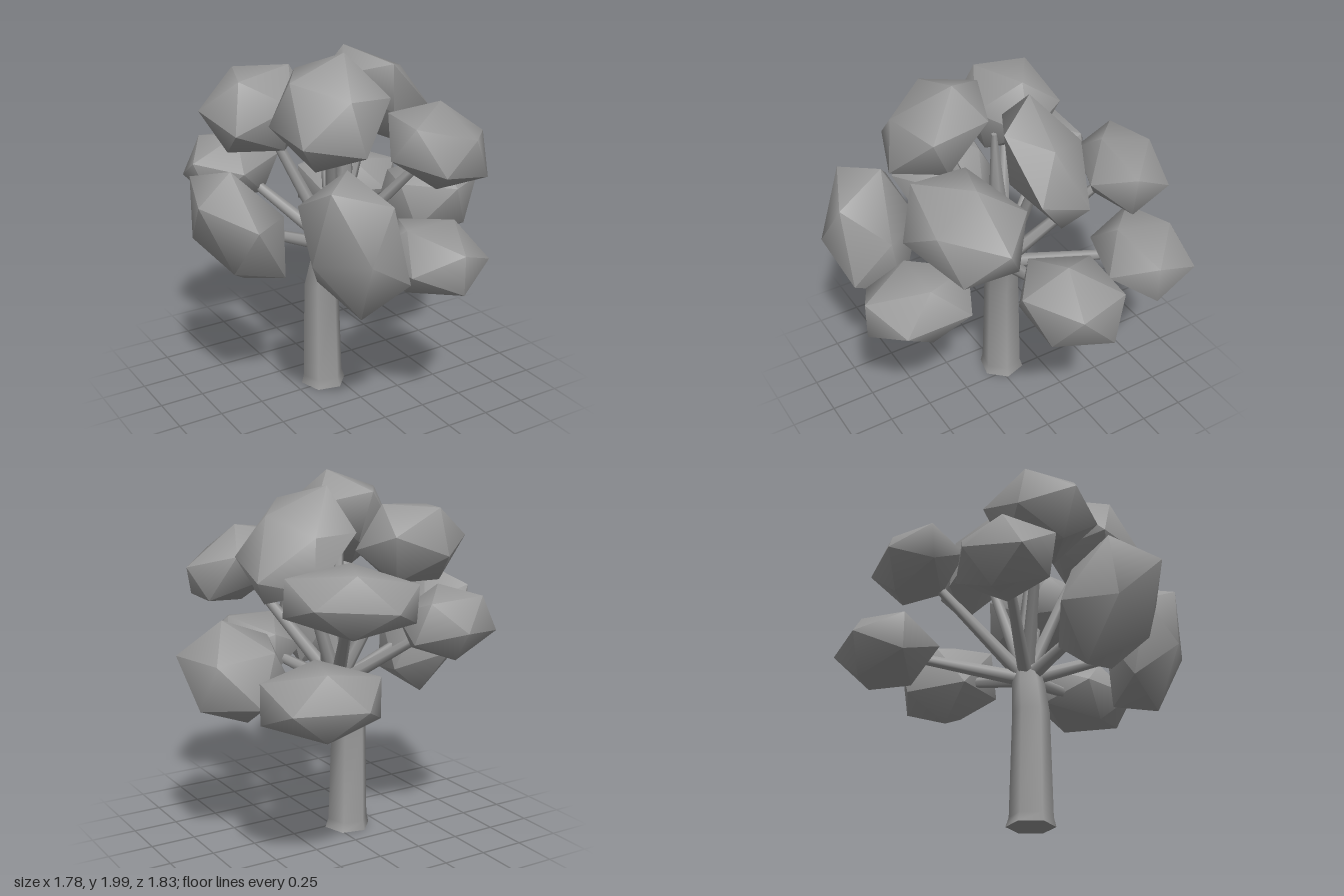
import * as THREE from 'three';
import { toCreasedNormals } from 'three/addons/utils/BufferGeometryUtils.js';

const T = (1 + Math.sqrt(5)) / 2;
const V = (a) => new THREE.Vector3(...a);

// Leaf clumps: centre, then the three axes of a squashed, tilted icosahedron
const CLUMPS = [
  [[0.18, 0.97, 0.62], [0.148, 0, 0], [0, 0.106, 0], [0, 0, 0.185]],
  [[0.44, 0.97, -0.624], [-0.048, 0, 0.14], [0, 0.106, 0], [0.176, 0, 0.06]],
  [[0.246, 1.437, -0.588], [-0.053, 0.01, 0.117], [0, 0.1, -0.011], [0.19, 0.014, 0.08]],
  [[-0.393, 1.245, -0.51], [0.063, 0.02, 0.111], [-0.04, 0.105, -0.015], [0.144, 0.02, -0.07]],
  [[-0.356, 1.63, -0.229], [-0.048, -0.006, 0.135], [-0.07, 0.12, -0.02], [0.158, 0.06, 0.016]],
  [[-0.62, 1.09, 0.02], [-0.037, 0.133, 0.13], [-0.143, 0.039, -0.009], [0.02, -0.135, 0.11]],
  [[-0.3, 1.143, 0.65], [-0.095, -0.018, 0.083], [-0.053, 0.215, 0], [0.091, 0.021, 0.125]],
  [[-0.22, 1.715, 0.285], [-0.077, 0.105, -0.098], [0.119, 0.108, 0.028], [0.085, 0, -0.128]],
  [[0.275, 1.65, -0.085], [0.08, -0.039, 0.122], [-0.062, 0.16, 0.068], [0.13, -0.003, -0.015]],
  [[0.617, 1.005, -0.04], [-0.118, 0.085, -0.029], [0.099, 0.114, 0.052], [0.059, -0.012, -0.154]],
  [[0.352, 1.488, 0.43], [-0.149, 0.105, 0.0065], [0.117, 0.072, -0.034], [0.014, 0.005, -0.147]],
];

function clumpGeometry([centre, x, y, z]) {
  const m = new THREE.Matrix4().makeBasis(V(x), V(y), V(z));
  // the solid is mirror-symmetric, so a left-handed frame can be flipped
  if (m.determinant() < 0) m.makeBasis(V(x), V(y), V(z).negate());
  m.setPosition(V(centre));
  const geo = new THREE.IcosahedronGeometry(Math.sqrt(1 + T * T), 0);
  geo.applyMatrix4(m);
  return toCreasedNormals(geo, 1.0);
}

// Straight tapered limb between two points
function limb(from, to, r0, r1, material) {
  const dir = to.clone().sub(from);
  const mesh = new THREE.Mesh(new THREE.CylinderGeometry(r1, r0, dir.length(), 6), material);
  mesh.position.copy(from).addScaledVector(dir, 0.5);
  mesh.quaternion.setFromUnitVectors(new THREE.Vector3(0, 1, 0), dir.normalize());
  return mesh;
}

// Trunk: six-sided rings [x, y, z, radius] joined into a bent, tapering column
function trunkGeometry() {
  const rings = [
    [-0.077, 0, -0.037, 0.13], [-0.08, 0.05, -0.037, 0.115], [-0.083, 0.62, -0.04, 0.1],
    [-0.053, 0.79, -0.03, 0.09], [0.005, 0.98, 0, 0.062], [0.015, 1.3, 0.04, 0.048],
    [0.012, 1.72, 0.06, 0.015],
  ];
  const n = 6, pos = [], idx = [];
  for (const [x, y, z, r] of rings) {
    for (let i = 0; i < n; i++) {
      const a = (i / n) * Math.PI * 2 + 0.3;
      pos.push(x + r * Math.sin(a), y, z + r * Math.cos(a));
    }
  }
  for (let k = 0; k < rings.length - 1; k++) {
    for (let i = 0; i < n; i++) {
      const a = k * n + i, b = k * n + ((i + 1) % n);
      idx.push(a, b, b + n, a, b + n, a + n);
    }
  }
  // base and tip caps
  const top = (rings.length - 1) * n;
  for (let i = 1; i < n - 1; i++) idx.push(0, i + 1, i, top, top + i, top + i + 1);
  const geo = new THREE.BufferGeometry();
  geo.setAttribute('position', new THREE.Float32BufferAttribute(pos, 3));
  geo.setIndex(idx);
  return toCreasedNormals(geo, 1.1);
}

export function createModel() {
  const grey = new THREE.MeshStandardMaterial({ color: 0x999999 });
  grey.name = 'grey';

  const tree = new THREE.Group();
  tree.name = 'tree';

  const trunk = new THREE.Mesh(trunkGeometry(), grey);
  trunk.name = 'trunk';
  tree.add(trunk);

  const branches = new THREE.Group();
  branches.name = 'branches';
  const foliage = new THREE.Group();
  foliage.name = 'foliage';
  tree.add(branches, foliage);

  // One branch and one leaf clump for every entry
  const hub = new THREE.Vector3(-0.02, 0.84, -0.015);
  CLUMPS.forEach((clump, i) => {
    const leaf = new THREE.Mesh(clumpGeometry(clump), grey);
    leaf.name = `leafClump${i + 1}`;
    foliage.add(leaf);

    const branch = limb(hub, V(clump[0]), 0.042, 0.022, grey);
    branch.name = `branch${i + 1}`;
    branches.add(branch);
  });

  return tree;
}
